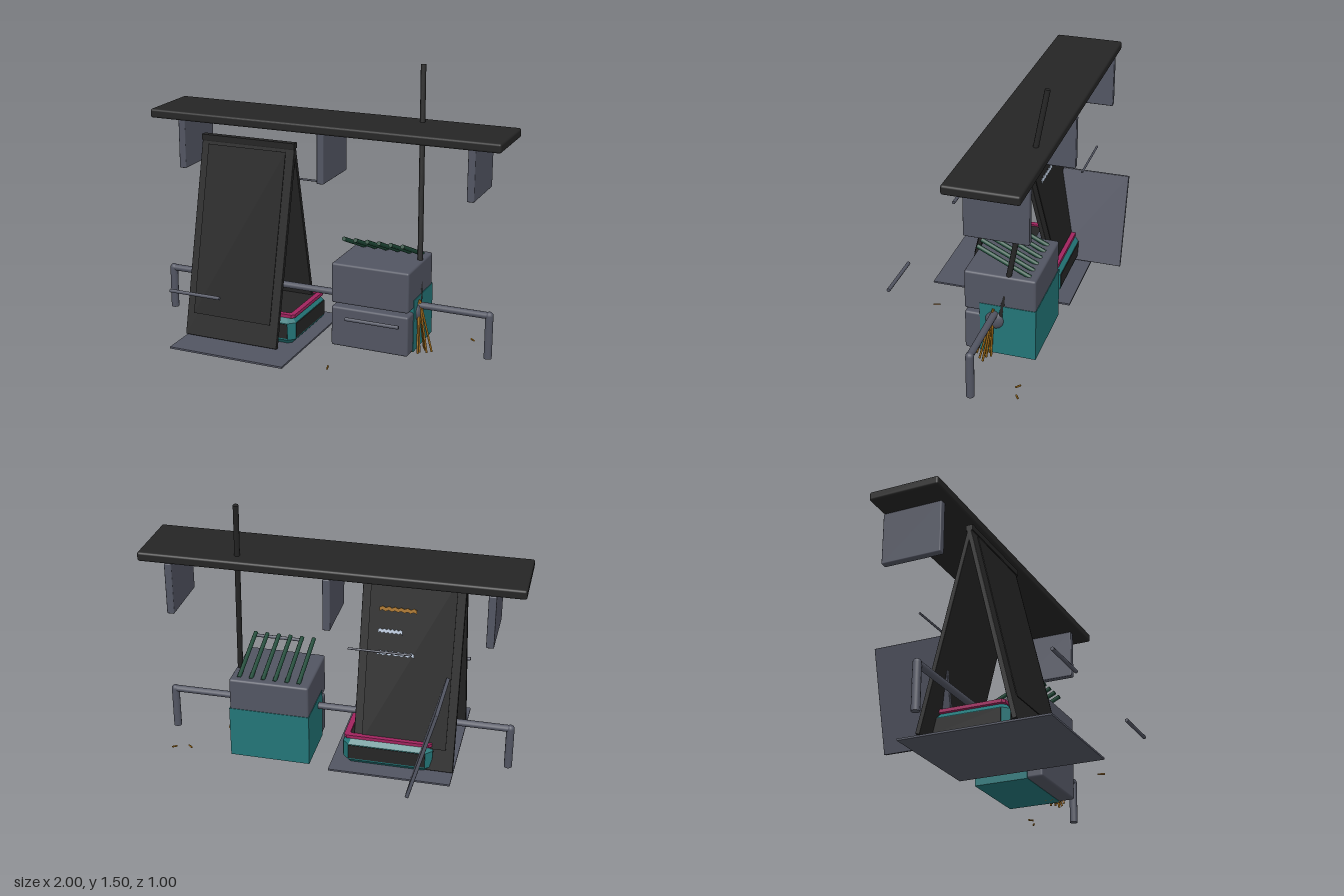
import * as THREE from 'three';
import { RoundedBoxGeometry } from 'three/addons/geometries/RoundedBoxGeometry.js';

const mat = (name, color) => {
  const m = new THREE.MeshStandardMaterial({ color });
  m.name = name;
  return m;
};

export function createModel() {
  const black = mat('black', 0x252525);
  const board = mat('dark board', 0x1f1f1f);
  const grey = mat('slate grey', 0x525562);
  const teal = mat('teal', 0x237577);
  const pink = mat('pink', 0xa0245e);
  const green = mat('dark green', 0x1f4a38);
  const orange = mat('straw', 0xa06c18);
  const pale = mat('pale blue', 0xb8c6d8);

  const root = new THREE.Group();
  const add = (name, geo, m, x = 0, y = 0, z = 0, parent = root) => {
    const mesh = new THREE.Mesh(geo, m);
    mesh.name = name;
    mesh.position.set(x, y, z);
    parent.add(mesh);
    return mesh;
  };
  // Box given by its min and max corners, with an optional softened edge
  const box = (name, m, x0, x1, y0, y1, z0, z1, r = 0, parent = root) => {
    const s = [x1 - x0, y1 - y0, z1 - z0];
    const geo = r ? new RoundedBoxGeometry(...s, 2, r) : new THREE.BoxGeometry(...s);
    return add(name, geo, m, (x0 + x1) / 2, (y0 + y1) / 2, (z0 + z1) / 2, parent);
  };
  // Straight round bar between two points
  const rod = (name, m, a, b, r0, r1 = r0, sides = 8) => {
    const p = new THREE.Vector3(...a), q = new THREE.Vector3(...b);
    const d = q.clone().sub(p);
    const mesh = add(name, new THREE.CylinderGeometry(r1, r0, d.length(), sides), m);
    mesh.position.copy(p).add(q).multiplyScalar(0.5);
    mesh.quaternion.setFromUnitVectors(new THREE.Vector3(0, 1, 0), d.normalize());
    return mesh;
  };

  // Shelf and its brackets
  box('shelf', black, -1, 1, 1.155, 1.205, -0.34, 0.045, 0.012);
  for (const x of [-0.835, 0, 0.835])
    box('shelfBracket', grey, x - 0.02, x + 0.02, 0.87, 1.157, -0.34, -0.01, 0.006);

  // Foot rail
  const railZ = -0.065;
  rod('railBar', grey, [-0.945, 0.25, railZ], [0.945, 0.25, railZ], 0.019, 0.019, 12);
  for (const x of [-0.945, 0.945]) {
    rod('railLeg', grey, [x, 0.01, railZ], [x, 0.25, railZ], 0.022, 0.022, 12);
    add('railElbow', new THREE.SphereGeometry(0.022, 12, 8), grey, x, 0.25, railZ);
  }

  // Folding sign: two leaning leaves, each holding a writing panel
  const leaf = (name, zBottom, zTop, out) => {
    const rise = 1.07, run = zTop - zBottom;
    const g = new THREE.Group();
    g.name = name;
    g.position.set(-0.39, 0.555, (zBottom + zTop) / 2);
    g.rotation.x = Math.atan2(run, rise);
    root.add(g);
    add('signLeaf', new RoundedBoxGeometry(0.55, Math.hypot(rise, run), 0.025, 1, 0.004), black, 0, 0, 0, g);
    add('signPanel', new THREE.BoxGeometry(0.46, 0.93, 0.004), board, 0, 0.04, out * 0.022, g);
    return g;
  };
  leaf('frontLeaf', 0.298, 0.042, 1);
  const back = leaf('backLeaf', -0.21, 0.055, -1);
  box('signHinge', black, -0.665, -0.115, 1.07, 1.1, 0.03, 0.068);
  // Zigzag chalk strokes on the rear leaf
  const chalk = [[orange, 0.32, 0.2], [pale, 0.2, 0.13], [pale, 0.08, 0.2]];
  for (const [m, y, len] of chalk) {
    const s = new THREE.Shape();
    const n = 12;
    for (let i = 0; i <= n; i++) s.lineTo(-len * i / n, i % 2 ? 0.014 : 0.006);
    for (let i = n; i >= 0; i--) s.lineTo(-len * i / n, i % 2 ? -0.006 : -0.014);
    const geo = new THREE.ExtrudeGeometry(s, { depth: 0.005, bevelEnabled: false });
    add('chalkStroke', geo, m, 0.175, y, -0.036, back);
  }

  // Floor mat
  box('mat', grey, -0.665, 0, 0.004, 0.014, -0.32, 0.485);

  // Crate: chamfered teal body, dark side panels and a pink rim
  const [cx0, cx1, cz0, cz1] = [-0.55, -0.06, -0.24, 0.21];
  const rect = (x0, x1, z0, z1, c, T = THREE.Shape) => new T([
    [x0 + c, z0], [x1 - c, z0], [x1, z0 + c], [x1, z1 - c],
    [x1 - c, z1], [x0 + c, z1], [x0, z1 - c], [x0, z0 + c],
  ].map(([x, z]) => new THREE.Vector2(x, -z)).reverse());
  const crate = add('crateBody', new THREE.ExtrudeGeometry(
    rect(cx0 + 0.025, cx1 - 0.025, cz0 + 0.025, cz1 - 0.025, 0.02),
    { depth: 0.095, bevelThickness: 0.027, bevelSize: 0.025, bevelSegments: 1 }), teal, 0, 0.041, 0);
  crate.rotation.x = -Math.PI / 2;
  for (const x of [cx0, cx1])
    box('crateSidePanel', black, x - 0.003, x + 0.003, 0.05, 0.132, cz0 + 0.035, cz1 - 0.035);
  for (const z of [cz0, cz1])
    box('crateEndPanel', black, cx0 + 0.035, cx1 - 0.035, 0.05, 0.132, z - 0.003, z + 0.003);
  const rim = rect(cx0 + 0.005, cx1 - 0.005, cz0 + 0.02, cz1 - 0.02, 0.015);
  rim.holes.push(rect(cx0 + 0.035, cx1 - 0.035, cz0 + 0.05, cz1 - 0.05, 0.01, THREE.Path));
  const ring = add('crateRim', new THREE.ExtrudeGeometry(rim, { depth: 0.018, bevelEnabled: false }), pink, 0, 0.163, 0);
  ring.rotation.x = -Math.PI / 2;
  box('crateLid', black, cx0 + 0.035, cx1 - 0.035, 0.155, 0.171, cz0 + 0.05, cz1 - 0.05);

  // Grey board leaning sideways behind the sign
  const lean = box('leaningBoard', grey, -0.545, -0.525, 0.013, 0.552, -0.5, -0.11, 0.003);
  lean.rotation.z = Math.atan2(0.14, 0.515);

  // Cabinet: grey top and drawer front around a teal lower body
  box('cabinetTop', grey, 0.115, 0.553, 0.255, 0.48, -0.285, 0.1, 0.012);
  box('cabinetDrawer', grey, 0.115, 0.553, 0.01, 0.235, -0.1, 0.1, 0.012);
  box('cabinetBody', teal, 0.112, 0.556, 0.008, 0.302, -0.288, 0.015);

  // Drawer handles, floating bars and the bar at the back
  rod('leftHandle', grey, [-0.65, 0.34, 0.485], [-0.355, 0.34, 0.485], 0.01);
  rod('rightHandle', grey, [0.355, 0.34, 0.485], [0.64, 0.34, 0.485], 0.01);
  rod('rearBar', grey, [-0.445, 0.785, -0.343], [-0.115, 0.785, -0.343], 0.006);

  // Green sticks resting on the cabinet
  for (let i = 0; i < 6; i++) {
    const x = 0.178 + i * 0.066;
    rod('greenStick', green, [x, 0.475, -0.245], [x - 0.014, 0.604, 0.045], 0.012);
  }

  // Broom: leaning pole, binding and splayed bristles
  rod('broomPole', black, [0.55, 0.2, -0.09], [0.465, 1.503, -0.31], 0.0145, 0.0145, 10);
  add('broomBinding', new THREE.SphereGeometry(0.054, 14, 10), grey, 0.545, 0.212, -0.065).scale.x = 0.6;
  for (let i = 0; i < 14; i++) {
    const a = i * 2.4, r = Math.sqrt((i + 0.5) / 14);
    const x = 0.56 + 0.09 * r * Math.cos(a), z = -0.018 + 0.05 * r * Math.sin(a);
    rod('bristle', orange, [x, 0.008, z], [0.552 + (x - 0.56) * 0.12, 0.28, -0.06], 0.006, 0.006, 5);
  }

  // Loose straws on the floor
  for (const [x, z, dx, dz] of [[0.217, 0.385, 0.005, 0.018], [0.8, -0.27, 0.012, 0.01], [0.885, -0.29, 0.012, -0.008]])
    rod('looseStraw', orange, [x - dx, 0.01, z - dz], [x + dx, 0.01, z + dz], 0.005, 0.005, 5);

  return root;
}
